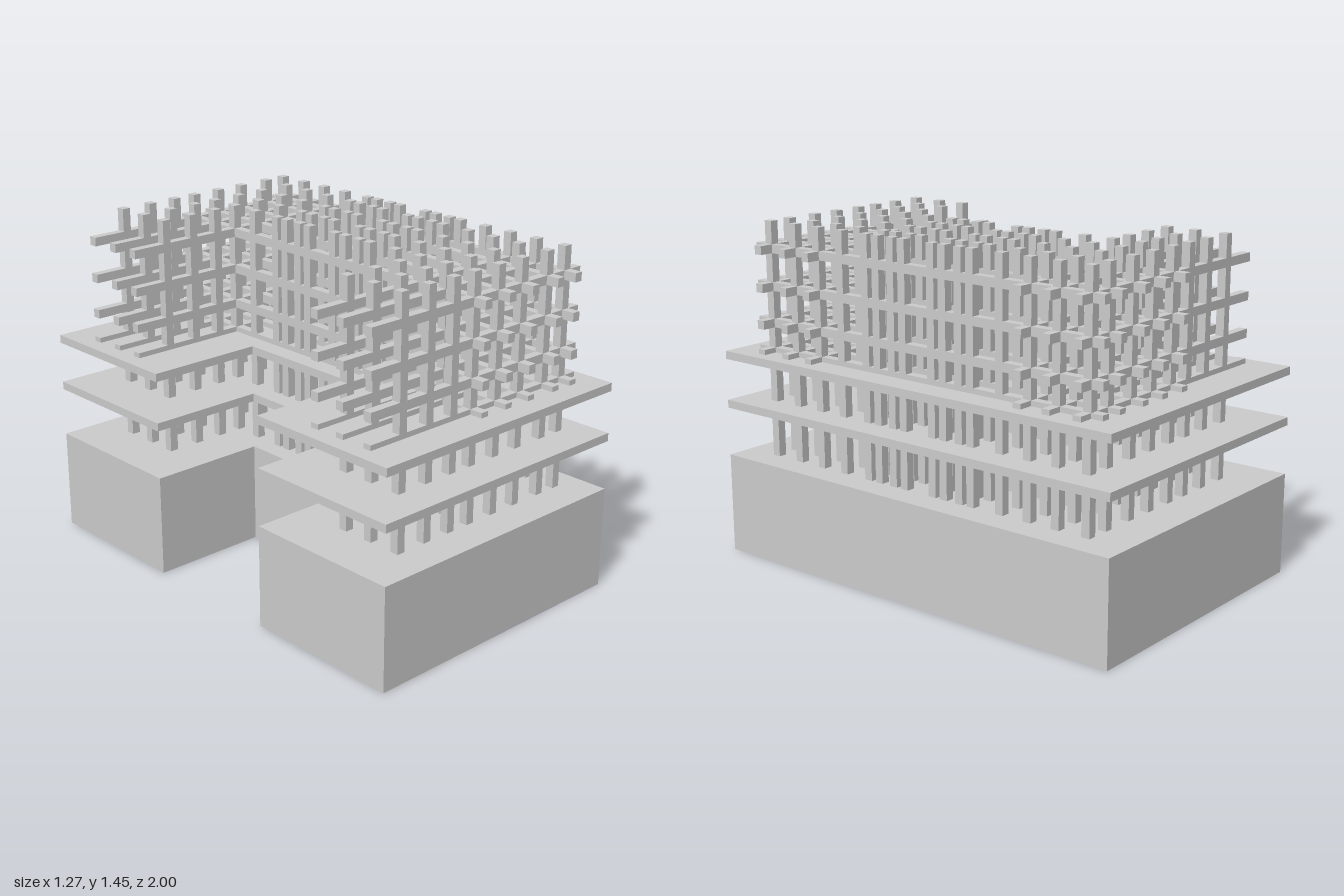
import * as THREE from 'three';

export function createModel() {
  const model = new THREE.Group();
  const grey = new THREE.MeshStandardMaterial({ color: 0xcccccc, flatShading: true });
  const greyThin = new THREE.MeshStandardMaterial({ color: 0xcccccc, flatShading: true, side: THREE.DoubleSide });

  const add = (name, geometry, x, y, z, parent = model, material = grey) => {
    const mesh = new THREE.Mesh(geometry, material);
    mesh.name = name;
    mesh.position.set(x, y, z);
    parent.add(mesh);
    return mesh;
  };
  const group = (name) => {
    const g = new THREE.Group();
    g.name = name;
    model.add(g);
    return g;
  };

  // C-shaped plan, counter-clockwise, as (x, -z)
  const plan = [
    [-0.633, -1], [0.633, -1], [0.633, 1], [-0.633, 1],
    [-0.633, 0.317], [-0.12, 0.317], [-0.12, -0.31], [-0.633, -0.31],
  ].map(([x, y]) => new THREE.Vector2(x, y));
  const planShape = new THREE.Shape(plan);

  // Hollow base: a roof and thin walls, open underneath
  const baseHeight = 0.435;
  const base = group('base');
  add('baseTop', new THREE.ShapeGeometry(planShape).rotateX(-Math.PI / 2), 0, baseHeight, 0, base, greyThin);
  plan.forEach((a, i) => {
    const b = plan[(i + 1) % plan.length];
    const wall = new THREE.PlaneGeometry(a.distanceTo(b), baseHeight);
    wall.rotateY(Math.atan2(b.y - a.y, b.x - a.x));
    add('baseWall', wall, (a.x + b.x) / 2, baseHeight / 2, -(a.y + b.y) / 2, base, greyThin);
  });

  // Two floor slabs with the same plan
  const slab = new THREE.ExtrudeGeometry(planShape, { depth: 0.035, bevelEnabled: false }).rotateX(-Math.PI / 2);
  for (const y of [0.645, 0.86]) add('floorSlab', slab, 0, y, 0);

  // Grid lines of the frame
  const t = 0.037;
  const wingX = [-0.4, -0.26, -0.13];
  const spineX = [-0.02, 0.115, 0.247, 0.395, 0.5];
  const wingZ = [-0.812, -0.671, -0.537, 0.556, 0.69, 0.832];
  const middleZ = [-0.402, -0.258, -0.2, -0.12, -0.062, 0.088, 0.147, 0.226, 0.286, 0.424];

  // Posts: the spine is filled along its length, the wings only at the ends
  const posts = group('posts');
  const postTop = 1.454;
  const post = new THREE.BoxGeometry(t, postTop - baseHeight, t);
  const addPosts = (xs, zs) => {
    for (const x of xs) for (const z of zs) add('post', post, x, (postTop + baseHeight) / 2, z, posts);
  };
  addPosts(wingX, wingZ);
  addPosts(spineX, [...wingZ, ...middleZ]);

  // Horizontal bars in four layers, crossing both ways
  const bars = group('bars');
  const crossBar = new THREE.BoxGeometry(1.145, t, t);
  const longBar = new THREE.BoxGeometry(t, t, 1.79);
  for (const y of [0.898, 1.022, 1.178, 1.338]) {
    for (const z of wingZ) add('crossBar', crossBar, 0.0075, y, z, bars);
    for (const x of spineX) add('longBar', longBar, x, y, 0.012, bars);
  }

  return model;
}
